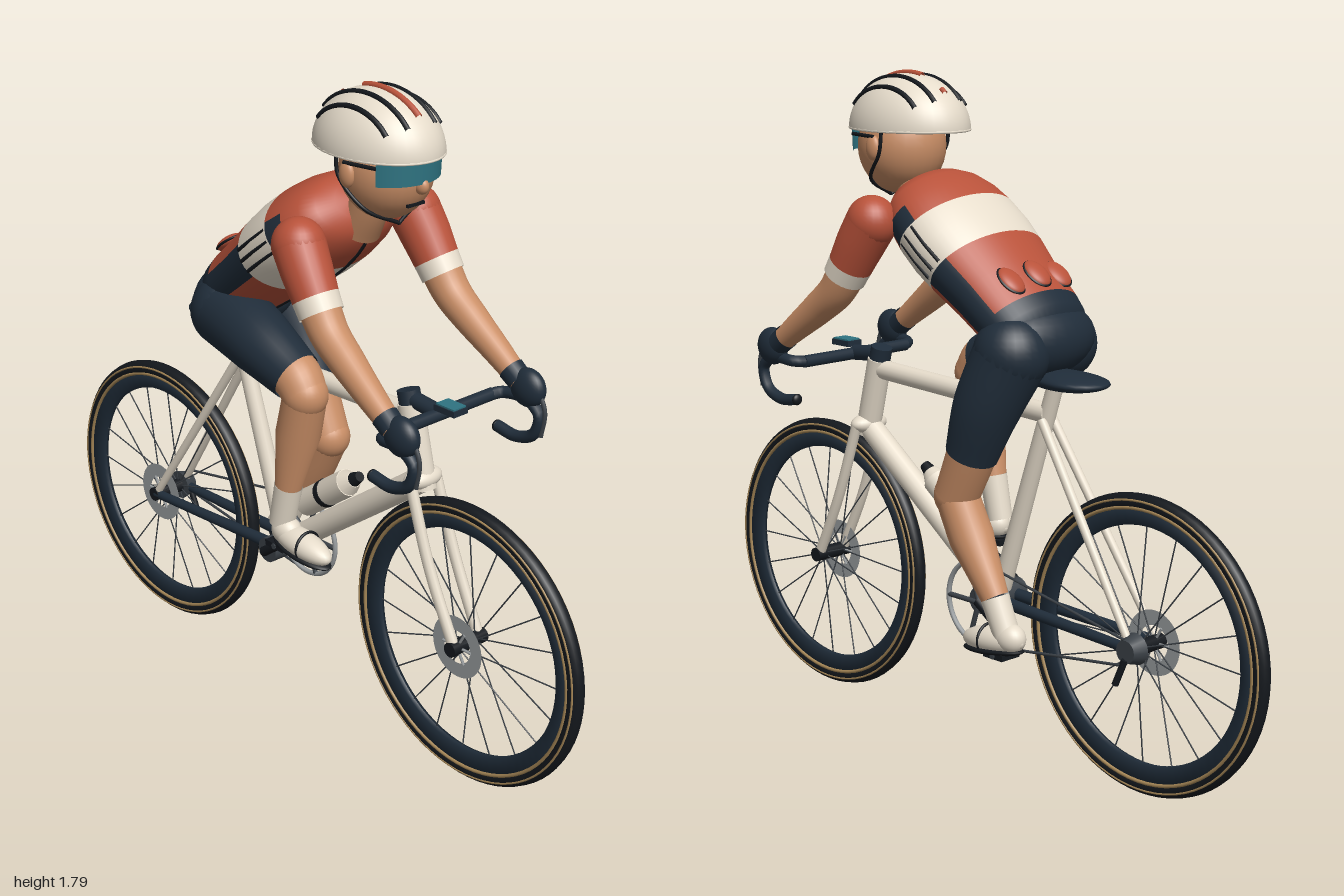
import * as THREE from 'three';
import { mergeGeometries } from 'three/addons/utils/BufferGeometryUtils.js';

const mat = (name, color, side = THREE.FrontSide) => {
  const m = new THREE.MeshStandardMaterial({ color, side });
  m.name = name;
  return m;
};
const V = (x, y, z) => new THREE.Vector3(x, y, z);

export function createModel() {
  const D = THREE.DoubleSide;
  const cream = mat('cream', 0xe6dccb, D), red = mat('brick red', 0xb8523a, D), navy = mat('navy', 0x202d3a, D);
  const black = mat('black', 0x14181d, D), skin = mat('skin', 0xc98e66), teal = mat('teal', 0x2f7482, D);
  const grey = mat('steel grey', 0x9b9fa1, D), tan = mat('tan', 0xa58656), dark = mat('dark steel', 0x3c4248);
  const root = new THREE.Group();
  root.name = 'cyclist';

  const add = (name, geo, m, parent = root) => {
    const mesh = new THREE.Mesh(geo, m);
    mesh.name = name;
    parent.add(mesh);
    return mesh;
  };
  // Straight rod between two points
  const rodGeo = (a, b, r1, r2 = r1, n = 16) => {
    const d = b.clone().sub(a);
    const g = new THREE.CylinderGeometry(r2, r1, d.length(), n);
    g.applyQuaternion(new THREE.Quaternion().setFromUnitVectors(V(0, 1, 0), d.normalize()));
    const c = a.clone().add(b).multiplyScalar(0.5);
    return g.translate(c.x, c.y, c.z);
  };
  const rod = (name, m, a, b, r1, r2, n) => add(name, rodGeo(V(...a), V(...b), r1, r2, n), m);
  const ball = (name, m, p, s, tilt = 0) => {
    const b = add(name, new THREE.SphereGeometry(1, 28, 18), m);
    b.position.set(...p);
    b.scale.set(...s);
    b.rotation.x = tilt;
    return b;
  };
  const tube = (name, m, pts, r, n = 40, sides = 10) =>
    add(name, new THREE.TubeGeometry(new THREE.CatmullRomCurve3(pts.map(p => V(...p))), n, r, sides), m);
  // Tapered limb through points [x, y, z, radius]
  const limb = (name, m, pts) => {
    const curve = new THREE.CatmullRomCurve3(pts.map(p => V(p[0], p[1], p[2])));
    const segs = 24, sides = 24, g = new THREE.TubeGeometry(curve, segs, 1, sides);
    const pos = g.attributes.position, v = V(0, 0, 0);
    for (let i = 0; i <= segs; i++) {
      const c = curve.getPointAt(i / segs);
      const t = curve.getUtoTmapping(i / segs) * (pts.length - 1);
      const k = Math.min(Math.floor(t), pts.length - 2);
      const r = THREE.MathUtils.lerp(pts[k][3], pts[k + 1][3], t - k);
      for (let j = 0; j <= sides; j++) {
        const n = i * (sides + 1) + j;
        v.fromBufferAttribute(pos, n).sub(c).multiplyScalar(r).add(c);
        pos.setXYZ(n, v.x, v.y, v.z);
      }
    }
    return add(name, g, m);
  };

  // Wheels
  for (const [label, z] of [['front', 0.607], ['rear', -0.607]]) {
    const w = new THREE.Group();
    w.name = label + 'Wheel';
    w.position.set(0, 0.4, z);
    root.add(w);
    const ring = (name, m, r, t, x = 0) => {
      const o = add(name, new THREE.TorusGeometry(r, t, 12, 72).rotateY(Math.PI / 2), m, w);
      o.position.x = x;
    };
    ring('tyre', black, 0.37, 0.023);
    for (const x of [-0.018, 0.018]) {
      ring('sidewallLine', tan, 0.357, 0.005, x);
      ring('sidewallEdge', tan, 0.377, 0.003, x * 1.15);
    }
    const rim = [[0.31, 0], [0.314, 0.01], [0.355, 0.018], [0.355, -0.018], [0.314, -0.01], [0.31, 0]];
    add('rim', new THREE.LatheGeometry(rim.map(p => new THREE.Vector2(...p)), 72).rotateZ(Math.PI / 2), navy, w);
    const spokes = [];
    for (let i = 0; i < 20; i++) {
      const a = (i / 20) * Math.PI * 2, s = i % 2 ? 0.03 : -0.03;
      spokes.push(rodGeo(V(s, 0.02 * Math.sin(a), 0.02 * Math.cos(a)),
        V(0, 0.312 * Math.sin(a), 0.312 * Math.cos(a)), 0.002, 0.002, 5));
    }
    add('spokes', mergeGeometries(spokes), dark, w);
    add('brakeRotor', new THREE.RingGeometry(0.046, 0.086, 40).rotateY(Math.PI / 2), grey, w).position.x = -0.034;
    const bars = [];
    for (let i = 0; i < 6; i++) {
      const a = i * Math.PI / 3;
      bars.push(rodGeo(V(-0.034, 0, 0), V(-0.034, 0.05 * Math.sin(a), 0.05 * Math.cos(a)), 0.004, 0.004, 6));
    }
    add('rotorArms', mergeGeometries(bars), grey, w);
    add('hub', rodGeo(V(-0.062, 0, 0), V(0.062, 0, 0), 0.02), black, w);
  }

  // Frame
  rod('headTube', cream, [0, 0.78, 0.442], [0, 1.0, 0.387], 0.034);
  rod('topTube', cream, [0, 0.972, 0.385], [0, 0.945, -0.265], 0.027);
  rod('downTube', cream, [0, 0.8, 0.43], [0, 0.42, -0.09], 0.034);
  rod('seatTube', cream, [0, 0.42, -0.09], [0, 1.025, -0.29], 0.026, 0.022);
  rod('bottomBracket', dark, [-0.07, 0.42, -0.09], [0.08, 0.42, -0.09], 0.036);
  ball('forkCrown', cream, [0, 0.81, 0.437], [0.06, 0.028, 0.036]);
  for (const s of [-1, 1]) {
    tube('forkBlade', cream, [[s * 0.045, 0.81, 0.437], [s * 0.047, 0.6, 0.512], [s * 0.045, 0.4, 0.607]], 0.015);
    rod('seatStay', cream, [s * 0.02, 0.93, -0.26], [s * 0.05, 0.4, -0.607], 0.013, 0.011);
    rod('chainStay', navy, [s * 0.035, 0.42, -0.1], [s * 0.05, 0.4, -0.607], 0.017, 0.013);
  }

  // Saddle: tapered from wide tail to narrow nose
  const saddle = new THREE.SphereGeometry(1, 28, 18), sp = saddle.attributes.position;
  for (let i = 0; i < sp.count; i++) {
    const z = sp.getZ(i);
    sp.setXYZ(i, sp.getX(i) * (0.06 - 0.035 * z) * 1.15, sp.getY(i) * 0.026, z * 0.16);
  }
  saddle.computeVertexNormals();
  add('saddle', saddle, navy).position.set(0, 1.04, -0.295);

  // Cockpit
  rod('steererCap', navy, [0, 0.99, 0.39], [0, 1.035, 0.378], 0.03);
  rod('stem', navy, [0, 1.015, 0.385], [0, 1.005, 0.49], 0.022);
  rod('barTop', navy, [-0.19, 1.003, 0.49], [0.19, 1.003, 0.49], 0.017);
  const computer = add('rideComputer', new THREE.BoxGeometry(0.05, 0.016, 0.07), navy);
  computer.position.set(0, 1.03, 0.528);
  add('computerScreen', new THREE.BoxGeometry(0.044, 0.004, 0.062), teal).position.set(0, 1.04, 0.528);
  for (const s of [-1, 1]) {
    const x = s * 0.222;
    tube('barDrop', navy, [[s * 0.18, 1.003, 0.49], [s * 0.213, 1.006, 0.505], [x, 1.008, 0.58], [x, 0.975, 0.624],
      [x, 0.92, 0.608], [x, 0.895, 0.55], [x, 0.902, 0.482]], 0.016);
    ball('barPlug', black, [x, 0.902, 0.482], [0.016, 0.016, 0.01]);
    rod('brakeHood', black, [x, 1.015, 0.56], [x, 1.06, 0.615], 0.02, 0.016);
    tube('brakeLever', dark, [[x, 1.05, 0.615], [x, 0.99, 0.642], [x, 0.92, 0.632]], 0.006);
  }

  // Drivetrain
  const pedalY = 0.1, pedalZ = 0.14;
  add('chainring', new THREE.TorusGeometry(0.115, 0.007, 8, 48).rotateY(Math.PI / 2), grey).position.set(0.08, 0.415, -0.09);
  for (let i = 0; i < 5; i++) {
    const a = i * Math.PI * 0.4;
    rod('chainringArm', dark, [0.08, 0.415, -0.09], [0.08, 0.415 + 0.113 * Math.sin(a), -0.09 + 0.113 * Math.cos(a)], 0.007);
  }
  for (const s of [-1, 1]) {
    const y = 0.42 - s * pedalY, z = -0.09 - s * pedalZ;
    rod('crank', black, [s * 0.083, 0.42, -0.09], [s * 0.083, y, z], 0.014, 0.011);
    rod('pedalAxle', dark, [s * 0.08, y, z], [s * 0.17, y, z], 0.008);
    add('pedal', new THREE.BoxGeometry(0.065, 0.016, 0.07), black).position.set(s * 0.135, y, z);
    rod('chainRun', dark, [0.08, 0.415 + s * 0.115, -0.1], [0.08, 0.4 + s * 0.034, -0.607], 0.004, 0.004, 6);
  }
  rod('cassette', dark, [0.035, 0.4, -0.607], [0.075, 0.4, -0.607], 0.042, 0.03);
  rod('derailleur', black, [0.075, 0.38, -0.607], [0.08, 0.31, -0.58], 0.009);

  // Water bottle on the down tube
  rod('bottle', cream, [0, 0.575, -0.005], [0, 0.695, 0.16], 0.038);
  rod('bottleBand', black, [0, 0.628, 0.068], [0, 0.64, 0.084], 0.0395);
  rod('bottleNeck', cream, [0, 0.695, 0.16], [0, 0.712, 0.183], 0.036, 0.022);
  rod('bottleCap', black, [0, 0.712, 0.183], [0, 0.728, 0.205], 0.02, 0.014);

  // Torso: elliptical rings along a leaning spine [along, half width, half depth]
  const at = (s, t, x) => V(x, 1.353 + 0.618 * s + 0.786 * t, 0.014 + 0.786 * s - 0.618 * t);
  const rings = [[-0.36, 0, 0], [-0.355, 0.13, 0.07], [-0.31, 0.16, 0.095], [-0.27, 0.166, 0.102], [-0.17, 0.175, 0.11],
    [-0.07, 0.192, 0.12], [0, 0.2, 0.124], [0.07, 0.198, 0.122], [0.13, 0.188, 0.114], [0.18, 0.165, 0.1],
    [0.21, 0.13, 0.082], [0.23, 0.08, 0.055], [0.238, 0, 0]];
  const N = 48, pos = [], faces = [[], [], []];
  rings.forEach(([s, w, d], i) => {
    for (let j = 0; j < N; j++) {
      const a = (j / N) * Math.PI * 2;
      pos.push(...at(s, d * Math.sin(a), w * Math.cos(a)).toArray());
      if (i === rings.length - 1) continue;
      const side = Math.abs(Math.sin(a + Math.PI / N)) < 0.36 && s < 0.13;
      const k = s < -0.27 ? 2 : s >= -0.07 && s < 0.07 ? 1 : side ? 2 : 0;
      const p = i * N + j, q = i * N + (j + 1) % N;
      faces[k].push(p, q, q + N, p, q + N, p + N);
    }
  });
  const torso = new THREE.BufferGeometry();
  torso.setAttribute('position', new THREE.Float32BufferAttribute(pos, 3));
  torso.setIndex(faces.flat());
  let start = 0;
  faces.forEach((f, k) => { torso.addGroup(start, f.length, k); start += f.length; });
  torso.computeVertexNormals();
  add('jersey', torso, [red, cream, navy]);
  const front = rings.slice(3, 11).map(([s, , d]) => at(s, -d, 0).toArray());
  tube('zip', black, front, 0.005);
  for (const s of [-1, 1]) for (const t of [-0.03, 0, 0.03])
    tube('sideStripe', black, [-0.065, 0, 0.065].map(u => at(u, t, s * 0.1975 * Math.sqrt(1 - (t / 0.122) ** 2) - s * 0.05 * Math.abs(u)).toArray()), 0.005);
  for (const x of [-0.085, 0, 0.085]) {
    const c = at(-0.215, 0.107 * Math.sqrt(1 - (x / 0.172) ** 2), x).toArray();
    ball('backPocket', red, c, [0.034, 0.016, 0.045], 0.666 - 1.332);
    ball('pocketEdge', black, c, [0.037, 0.008, 0.048], 0.666 - 1.332);
  }
  ball('hips', navy, [0, 1.135, -0.23], [0.18, 0.1, 0.105]);

  // Arms
  for (const s of [-1, 1]) {
    ball('shoulder', red, [s * 0.2, 1.418, 0.188], [0.068, 0.07, 0.07]);
    limb('sleeve', red, [[s * 0.2, 1.415, 0.19, 0.069], [s * 0.206, 1.36, 0.225, 0.066], [s * 0.21, 1.3, 0.262, 0.06]]);
    limb('sleeveCuff', cream, [[s * 0.21, 1.302, 0.261, 0.061], [s * 0.212, 1.265, 0.285, 0.058]]);
    limb('arm', skin, [[s * 0.21, 1.3, 0.262, 0.055], [s * 0.214, 1.225, 0.315, 0.05], [s * 0.217, 1.17, 0.385, 0.045],
      [s * 0.221, 1.11, 0.47, 0.037], [s * 0.223, 1.05, 0.555, 0.029]]);
    limb('gloveCuff', navy, [[s * 0.222, 1.074, 0.522, 0.035], [s * 0.223, 1.05, 0.555, 0.033]]);
    ball('glove', navy, [s * 0.223, 1.04, 0.582], [0.033, 0.052, 0.054]);
  }

  // Legs: the left one pushed down, the right one raised
  const leg = (x, hip, mid, hem, knee, calf, sockTop, ankle, shoe) => {
    const p = (q, r) => [x, q[0], q[1], r];
    const hx = x * 0.8;
    ball('hipJoint', navy, [hx, ...hip], [0.1, 0.1, 0.1]);
    limb('shortsLeg', navy, [[hx, ...hip, 0.1], p(mid, 0.089), p(hem, 0.07)]);
    limb('lowerThigh', skin, [p(mid, 0.06), p(hem, 0.066), p(knee, 0.06)]);
    ball('knee', skin, [x, ...knee], [0.06, 0.062, 0.062]);
    limb('calf', skin, [p(knee, 0.058), p(calf, 0.06), p(sockTop, 0.037)]);
    limb('sock', cream, [p(sockTop, 0.039), p(ankle, 0.035)]);
    ball('shoe', cream, [x, ...shoe], [0.042, 0.037, 0.108], 0.12);
    ball('heel', cream, [x, shoe[0] + 0.018, shoe[1] - 0.062], [0.037, 0.04, 0.045]);
    ball('sole', black, [x, shoe[0] - 0.024, shoe[1]], [0.043, 0.014, 0.106], 0.12);
    add('shoeStrap', new THREE.TorusGeometry(0.04, 0.004, 8, 24), black).position.set(x, shoe[0], shoe[1] + 0.02);
  };
  leg(0.133, [1.11, -0.235], [0.97, -0.175], [0.835, -0.118], [0.715, -0.062], [0.61, -0.118], [0.465, -0.205], [0.37, -0.25], [0.35, -0.2]);
  leg(-0.133, [1.11, -0.2], [1.075, -0.03], [1.02, 0.105], [0.98, 0.137], [0.86, 0.11], [0.7, 0.072], [0.58, 0.045], [0.545, 0.125]);

  // Head
  limb('neck', skin, [[0, 1.42, 0.19, 0.06], [0, 1.48, 0.225, 0.053], [0, 1.56, 0.26, 0.055]]);
  ball('head', skin, [0, 1.6, 0.288], [0.118, 0.13, 0.122]);
  ball('nose', skin, [0, 1.578, 0.408], [0.016, 0.022, 0.022]);
  add('mouth', new THREE.BoxGeometry(0.056, 0.008, 0.009), black).position.set(0, 1.527, 0.389);
  add('glasses', new THREE.CylinderGeometry(0.132, 0.13, 0.056, 28, 1, true, -1, 2), teal).position.set(0, 1.614, 0.292);
  for (const s of [-1, 1]) {
    ball('ear', skin, [s * 0.118, 1.6, 0.272], [0.016, 0.034, 0.024]);
    rod('glassesArm', black, [s * 0.109, 1.632, 0.364], [s * 0.124, 1.63, 0.265], 0.005);
    tube('chinStrap', black, [[s * 0.122, 1.65, 0.235], [s * 0.121, 1.59, 0.245], [s * 0.094, 1.515, 0.31], [0, 1.465, 0.335]], 0.005);
  }

  // Helmet with vents and a centre stripe
  const [hw, hh, hl] = [0.142, 0.148, 0.187];
  add('helmet', new THREE.SphereGeometry(1, 40, 18, 0, Math.PI * 2, 0, Math.PI / 2).scale(hw, hh, hl), cream)
    .position.set(0, 1.645, 0.258);
  add('helmetRim', new THREE.TorusGeometry(1, 0.025, 8, 48).rotateX(Math.PI / 2).scale(hw - 0.003, 0.15, hl - 0.003), cream)
    .position.set(0, 1.647, 0.258);
  const ridge = (name, m, x, a0, a1, r) => {
    const k = Math.sqrt(1 - (x / hw) ** 2), pts = [];
    for (let i = 0; i <= 10; i++) {
      const a = a0 + (a1 - a0) * i / 10;
      pts.push([x, 1.645 + hh * k * Math.sin(a), 0.258 + hl * k * Math.cos(a)]);
    }
    tube(name, m, pts, r);
  };
  for (const x of [-0.09, -0.045, 0.045, 0.09]) ridge('helmetVent', black, x, 0.6, 2.55, 0.007);
  ridge('helmetStripe', red, 0, 0.75, 1.85, 0.009);
  ridge('helmetTailMark', red, 0, 2.3, 2.4, 0.008);

  return root;
}
